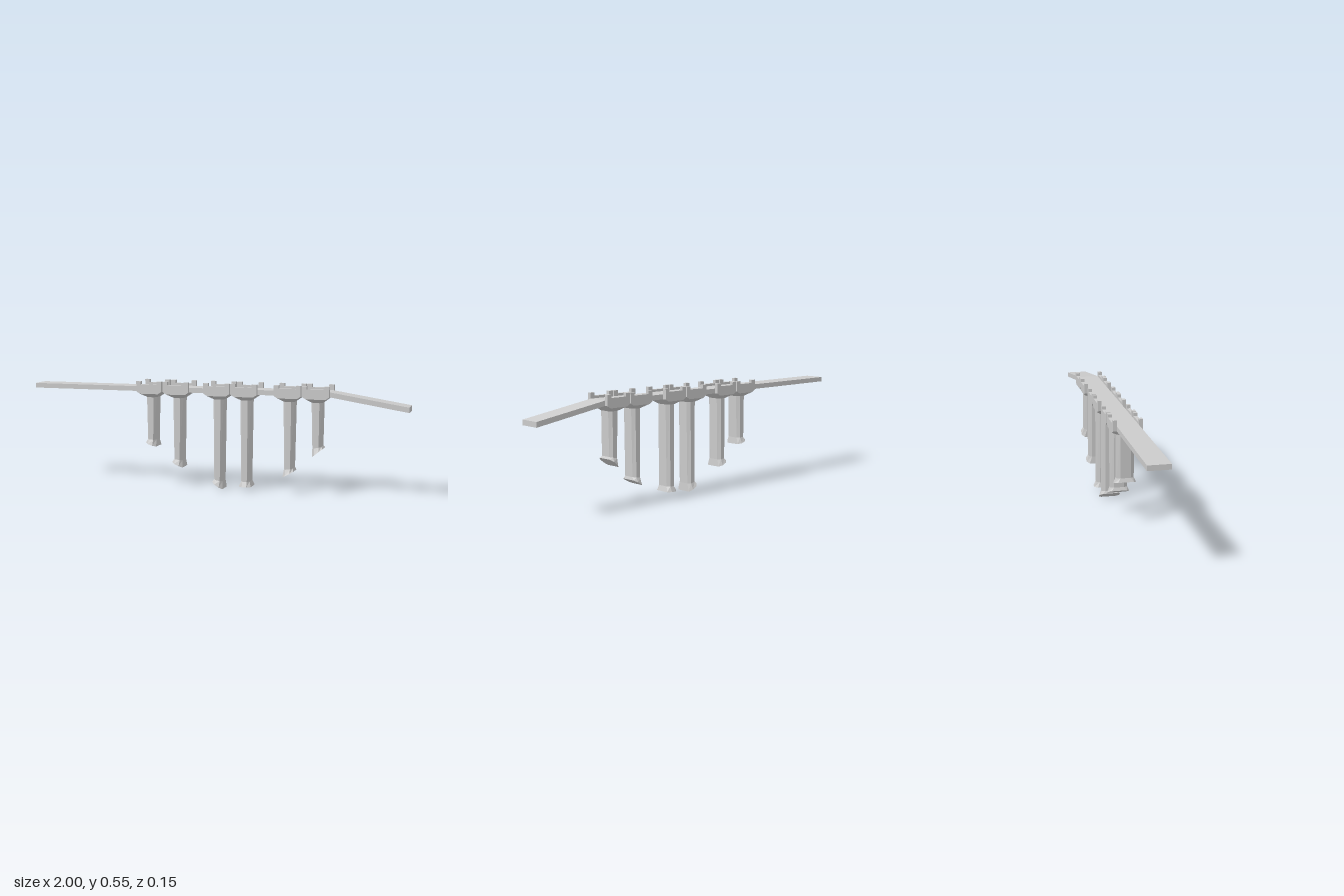
import * as THREE from 'three';

const material = new THREE.MeshStandardMaterial({ color: 0xcccccc, flatShading: true });

function addMesh(parent, name, geometry) {
  const mesh = new THREE.Mesh(geometry, material);
  mesh.name = name;
  parent.add(mesh);
  return mesh;
}

// Extrudes an outline in the xy plane between two z values
function slab(points, z0, z1) {
  const shape = new THREE.Shape(points.map(([x, y]) => new THREE.Vector2(x, y)));
  const geometry = new THREE.ExtrudeGeometry(shape, { depth: z1 - z0, bevelEnabled: false });
  return geometry.translate(0, 0, z0);
}

// Eight-sided ring: half sizes hx, hz; flat half lengths fx, fz; slope tilts it along x
function ring(cx, y, hx, fx, hz, fz, slope = 0) {
  return [[hx, fz], [fx, hz], [-fx, hz], [-hx, fz], [-hx, -fz], [-fx, -hz], [fx, -hz], [hx, -fz]]
    .map(([x, z]) => [cx + x, y + slope * x, z]);
}

// Skins rings from top to bottom and closes the last one
function loft(rings) {
  const positions = [];
  for (let r = 0; r < rings.length - 1; r++) {
    for (let i = 0; i < 8; i++) {
      const j = (i + 1) % 8;
      const a = rings[r][i], b = rings[r][j], c = rings[r + 1][i], d = rings[r + 1][j];
      positions.push(...a, ...b, ...d, ...a, ...d, ...c);
    }
  }
  const foot = rings[rings.length - 1];
  for (let i = 1; i < 7; i++) positions.push(...foot[0], ...foot[i], ...foot[i + 1]);
  const geometry = new THREE.BufferGeometry();
  geometry.setAttribute('position', new THREE.Float32BufferAttribute(positions, 3));
  geometry.computeVertexNormals();
  return geometry;
}

export function createModel() {
  const model = new THREE.Group();
  model.name = 'bridge';

  // Road deck, level and then sloping down at one end
  addMesh(model, 'deck', slab([
    [-1, 0.5], [0.61, 0.5], [1, 0.437], [1, 0.463], [0.61, 0.525], [-1, 0.525],
  ], -0.054, 0.054));

  // Parapet with a raised block at each end and clipped lower corners
  const parapet = [
    [-0.069, 0.5], [-0.05, 0.488], [0.05, 0.488], [0.069, 0.5], [0.069, 0.553],
    [0.044, 0.553], [0.044, 0.537], [-0.044, 0.537], [-0.044, 0.553], [-0.069, 0.553],
  ];

  // Piers: centre x, foot x offset, foot height, foot slope, foot half width
  const piers = [
    [-0.338, -0.003, 0.217, -0.33, 0.029],
    [-0.191, -0.003, 0.117, -0.48, 0.028],
    [0.029, -0.004, 0.019, -0.65, 0.028],
    [0.173, 0, 0.021, 0, 0.032],
    [0.399, 0, 0.098, 0.55, 0.028],
    [0.542, 0.006, 0.215, 0.8, 0.026],
  ];

  for (const [x, footX, footY, slope, footHalf] of piers) {
    const pier = new THREE.Group();
    pier.name = 'pier';
    pier.position.x = x;
    model.add(pier);

    for (const [z0, z1] of [[0.054, 0.073], [-0.073, -0.054]]) {
      addMesh(pier, 'parapet', slab(parapet, z0, z1));
    }

    // Flared head, tapering shaft and splayed foot cut to the ground slope
    const head = ring(0, 0.5, 0.069, 0.05, 0.073, 0.073);
    head.forEach((p) => { if (Math.abs(p[0]) < 0.06) p[1] = 0.488; });
    addMesh(pier, 'column', loft([
      head,
      ring(0, 0.468, 0.028, 0.015, 0.043, 0.026),
      ring(footX / 3, footY + 0.027, 0.023, 0.012, 0.043, 0.026, slope * 0.25),
      ring(footX, footY, footHalf, 0.012, 0.055, 0.039, slope),
    ]));
  }
  return model;
}
